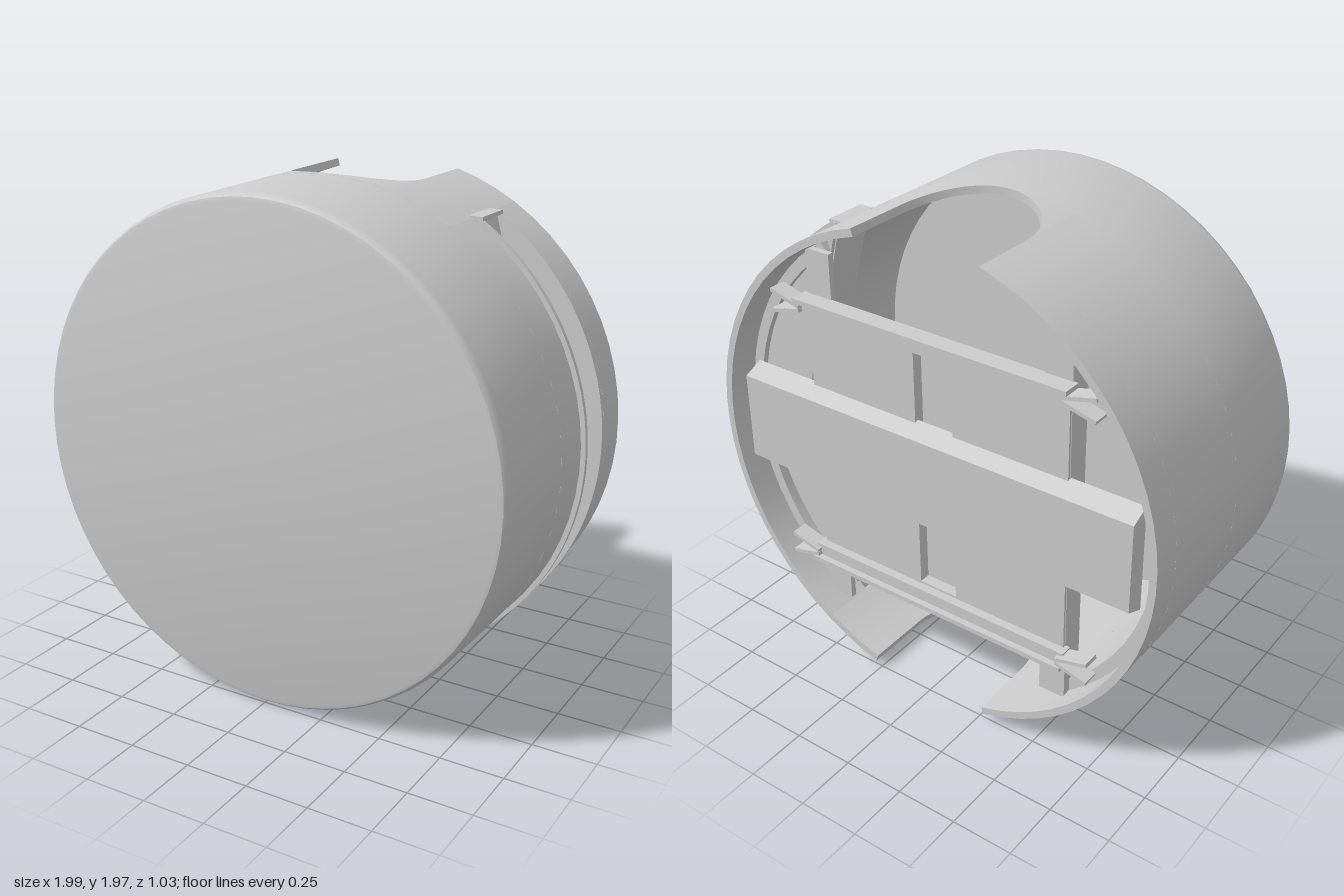
import * as THREE from 'three';
import { toCreasedNormals } from 'three/addons/utils/BufferGeometryUtils.js';

const mat = new THREE.MeshStandardMaterial({ color: 0xcccccc, side: THREE.DoubleSide });
const BACK = -0.517, FRONT = 0.515, JOIN = 0.05, WALL = 0.03;
const radius = (z) => 0.9835 - 0.009 * z;
const rad = THREE.MathUtils.degToRad;

export function createModel() {
  const model = new THREE.Group();

  const add = (name, geo, x = 0, y = 0, z = 0, parent = model) => {
    const mesh = new THREE.Mesh(toCreasedNormals(geo, 0.6), mat);
    mesh.name = name;
    mesh.position.set(x, y, z);
    parent.add(mesh);
    return mesh;
  };
  // box given by its limits
  const box = (name, x0, x1, y0, y1, z0, z1) =>
    add(name, new THREE.BoxGeometry(x1 - x0, y1 - y0, z1 - z0), (x0 + x1) / 2, (y0 + y1) / 2, (z0 + z1) / 2);
  const polygon = (pts) => new THREE.Shape(pts.map(([x, y]) => new THREE.Vector2(x, y)));
  const plate = (name, shape, z0, z1) =>
    add(name, new THREE.ExtrudeGeometry(shape, { depth: z1 - z0, bevelEnabled: false, curveSegments: 40 }), 0, 0, z0);

  // solid piece of tube wall: a four-point section at each angle, from z0 to z1
  const wallPiece = (name, rows, inner = WALL) => {
    const pos = [], index = [];
    rows.forEach(([a, z0, z1]) => {
      [[radius(z0), z0], [radius(z1), z1], [radius(z1) - inner, z1], [radius(z0) - inner, z0]]
        .forEach(([r, z]) => pos.push(r * Math.cos(a), r * Math.sin(a), z));
    });
    const last = (rows.length - 1) * 4;
    for (let i = 0; i < last; i += 4) {
      for (let j = 0; j < 4; j++) {
        const k = (j + 1) % 4;
        index.push(i + j, i + 4 + j, i + 4 + k, i + j, i + 4 + k, i + k);
      }
    }
    index.push(0, 1, 2, 0, 2, 3, last, last + 2, last + 1, last, last + 3, last + 2);
    const geo = new THREE.BufferGeometry();
    geo.setAttribute('position', new THREE.Float32BufferAttribute(pos, 3));
    geo.setIndex(index);
    return add(name, geo);
  };
  const arcRows = (a0, a1, z0, z1) => {
    const n = Math.ceil(Math.abs(a1 - a0) / 5.6);
    return Array.from({ length: n + 1 }, (_, i) => [rad(a0 + (a1 - a0) * i / n), z0, z1]);
  };

  // closed front with a rounded rim
  const cap = new THREE.LatheGeometry([
    [0.953, JOIN], [radius(JOIN), JOIN], [radius(0.48), 0.48], [0.974, 0.5], [0.965, 0.511], [0.95, FRONT],
    [0, FRONT], [0, 0.485], [0.95, 0.485], [0.953, JOIN],
  ].map(([r, z]) => new THREE.Vector2(r, z)), 64);
  cap.rotateX(Math.PI / 2);
  add('frontCap', cap);

  // rear wall, with a slot on the left side
  const SLOT = 58.5, NOTCH = 74.1;
  wallPiece('rightWall', arcRows(180 - NOTCH, 180 + NOTCH, BACK, JOIN));
  wallPiece('upperLeftWall', arcRows(SLOT, NOTCH, BACK, JOIN));
  wallPiece('lowerLeftWall', arcRows(-NOTCH, -SLOT, BACK, JOIN));
  wallPiece('wallBeforeSlot', arcRows(-SLOT, SLOT, -0.14, JOIN));
  wallPiece('wallBehindSlot', arcRows(-SLOT, SLOT, BACK, -0.305));

  // U-shaped notches at top and bottom
  for (const mid of [90, 270]) {
    const rows = [];
    for (let i = 0; i <= 24; i++) {
      const t = -Math.PI / 2 + Math.PI * i / 24;
      rows.push([rad(mid) + Math.asin(0.27 * Math.sin(t) / 0.985), -0.24 + 0.27 * Math.cos(t), JOIN]);
    }
    wallPiece('notchWall', rows);
  }

  // recessed channel behind the slot: two flanges and an angled floor
  const floorLine = [[0.54, -0.84], [0.735, -0.09], [0.735, 0.09], [0.54, 0.84]];
  const flange = new THREE.Shape();
  flange.absarc(0, 0, 1.003, -rad(57.5), rad(57.5), false);
  [...floorLine].reverse().forEach(([x, y]) => flange.lineTo(x - 0.015, y));
  plate('slotFlange', flange, -0.15, -0.13);
  plate('slotFlange', flange, -0.316, -0.298);
  plate('slotFloor', polygon([...floorLine, ...floorLine.map(([x, y]) => [x - 0.02, y]).reverse()]), -0.3, -0.145);
  for (const s of [-1, 1]) {
    box('slotEnd', 0.5, 0.56, s * 0.84 - 0.008, s * 0.84 + 0.008, -0.31, -0.135);
    // screw standing square on the sloping floor
    const screw = new THREE.Group();
    screw.name = 'screw';
    screw.position.set(0.653, s * 0.435, -0.225);
    screw.rotation.set(0, Math.PI / 2, 0);
    screw.rotation.order = 'ZYX';
    screw.rotation.z = s * 0.254;
    add('screwRing', new THREE.TorusGeometry(0.026, 0.01, 6, 16), 0, 0, 0.006, screw);
    add('screwHead', new THREE.CylinderGeometry(0.014, 0.014, 0.02, 6).rotateX(Math.PI / 2), 0, 0, 0, screw);
    model.add(screw);
  }

  // inner ledges on both sides
  for (const mid of [0, 180]) {
    wallPiece('innerLedge', arcRows(mid - 56, mid + 56, -0.39, -0.365).map(([a, z0, z1]) => [a, z0, z1]), 0.075);
  }

  // rear panel with a central pocket
  const rect = (w, h) => polygon([[-w, -h], [w, -h], [w, h], [-w, h]]);
  const panel = rect(0.58, 0.56);
  panel.holes.push(rect(0.085, 0.51));
  plate('panel', panel, -0.435, -0.42);
  const pocket = rect(0.098, 0.53);
  pocket.holes.push(rect(0.085, 0.51));
  plate('pocketSides', pocket, -0.42, -0.385);
  plate('pocketBack', rect(0.098, 0.53), -0.39, -0.38);

  // upright posts
  for (const s of [-1, 1]) {
    const [x0, x1] = s > 0 ? [0.47, 0.57] : [-0.57, -0.47];
    box('post', x0, x1, -0.77, 0.77, -0.425, -0.4);
    box('postRib', s * 0.57 - 0.012, s * 0.57 + 0.012, -0.77, 0.77, -0.425, -0.33);
  }

  // wide crossbar with sloping upper and lower faces
  const bar = new THREE.ExtrudeGeometry(
    polygon([[0.5, -0.18], [0.5, 0.18], [0.42, 0.215], [0.42, -0.215]]),
    { depth: 1.76, bevelEnabled: false });
  bar.rotateY(-Math.PI / 2).rotateY(Math.PI);
  bar.computeBoundingBox();
  const c = bar.boundingBox.getCenter(new THREE.Vector3());
  bar.translate(-c.x, 0, -c.z);
  // wide base faces the front
  bar.computeBoundingBox();
  const p = bar.attributes.position;
  for (let i = 0; i < p.count; i++) p.setY(i, Math.sign(p.getY(i)) * (p.getZ(i) > 0 ? 0.215 : 0.18));
  bar.computeVertexNormals();
  add('crossbar', bar, 0, 0, -0.46);

  // narrow rails with forked clips at the ends
  for (const sy of [-1, 1]) {
    const y = sy * 0.55;
    box('rail', -0.6, 0.6, y - 0.03, y + 0.03, -0.47, -0.42);
    box('railLip', -0.6, 0.6, y + sy * 0.03 - 0.01, y + sy * 0.03 + 0.01, -0.495, -0.42);
    for (const sx of [-1, 1]) {
      for (const tilt of [-1, 1]) {
        const prong = add('clipProng', new THREE.BoxGeometry(0.14, 0.015, 0.07), sx * 0.645, y + tilt * 0.025, -0.455);
        prong.rotation.z = sx * tilt * 0.25;
      }
    }
  }

  model.position.set(-0.006, 0.983, 0);
  const root = new THREE.Group();
  root.name = 'roundHousing';
  root.add(model);
  model.name = 'housing';
  return root;
}
